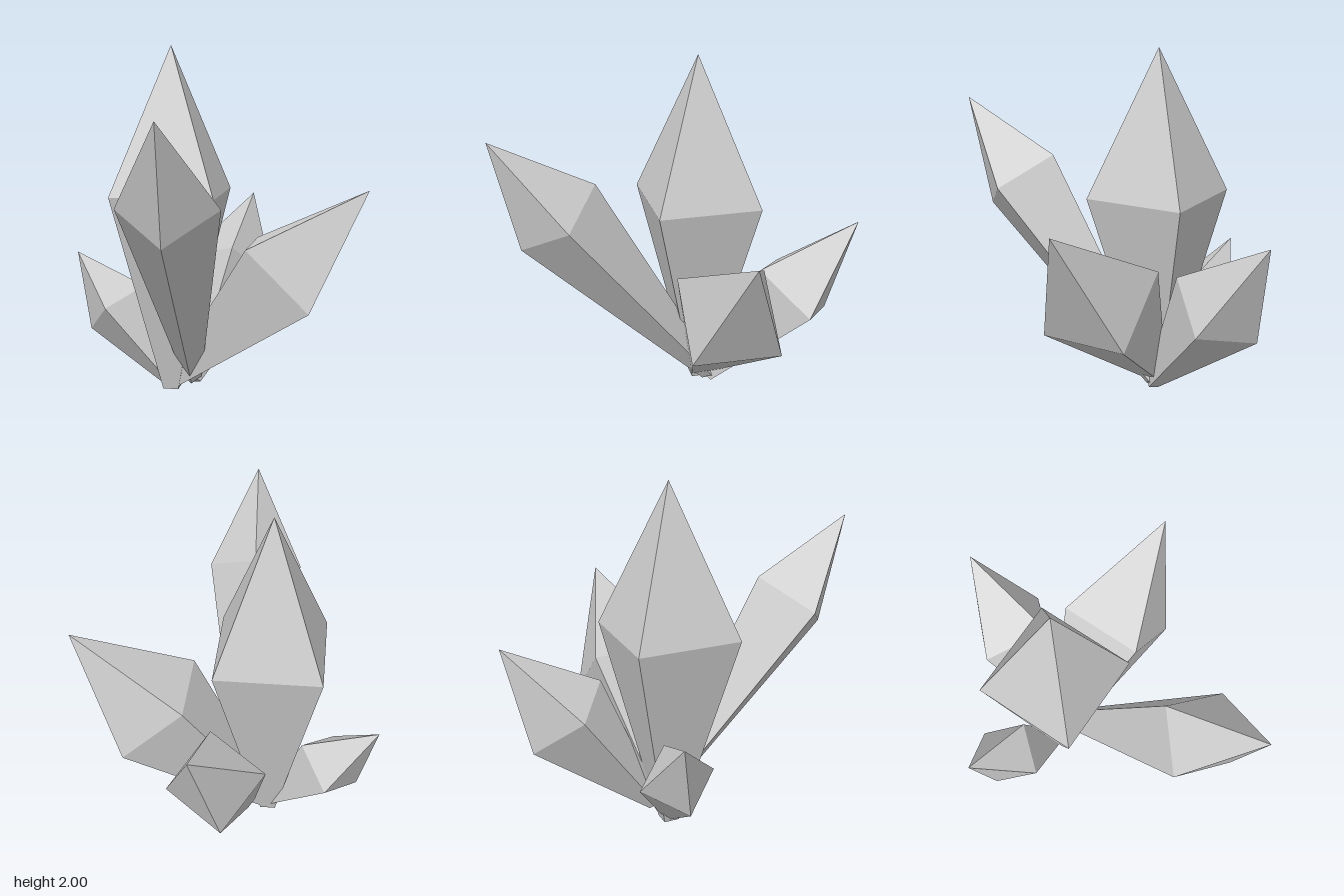
import * as THREE from 'three';

// One four-sided crystal: a narrow foot, a wide girdle and a pointed tip.
// girdle: centre of the widest ring; corner: offset from it to one ring corner;
// reach: foot distance below the girdle, relative to the tip length;
// foot: foot radius relative to the girdle radius.
function crystal(name, tip, girdle, corner, reach, foot, material) {
  const centre = new THREE.Vector3(...girdle);
  const axis = new THREE.Vector3(...tip).sub(centre);
  const length = axis.length();
  axis.normalize();
  const side = new THREE.Vector3(...corner);
  const radius = side.length();
  side.addScaledVector(axis, -side.dot(axis)).normalize();

  const profile = [
    [0, -reach * length],
    [radius * foot, -reach * length],
    [radius, 0],
    [0, length],
  ].map(([r, y]) => new THREE.Vector2(r, y));
  const geometry = new THREE.LatheGeometry(profile, 4);

  // Turn the crystal so its axis and ring corners point the right way
  const turn = new THREE.Matrix4().makeBasis(
    side, axis, new THREE.Vector3().crossVectors(side, axis));
  geometry.applyMatrix4(turn.setPosition(centre));

  const mesh = new THREE.Mesh(geometry, material);
  mesh.name = name;
  return mesh;
}

export function createModel() {
  const group = new THREE.Group();
  group.name = 'crystalCluster';
  const material = new THREE.MeshStandardMaterial({ color: 0xcccccc, flatShading: true });

  const crystals = [
    ['mainCrystal', [-0.07, 2, -0.2], [-0.07, 1.16, -0.2], [0.42, 0, 0], 1.38, 0.15],
    ['frontRightCrystal', [-0.795, 1.645, 0.77], [-0.55, 1.18, 0.5], [0.2, 0.01, 0.185], 2.41, 0.2],
    ['frontLeftCrystal', [0.735, 1.195, 0.595], [0.39, 0.7, 0.253], [0.055, 0.172, -0.303], 1.37, 0.15],
    ['backLeftCrystal', [0.79, 1.06, -0.55], [0.475, 0.63, -0.377], [0.2, -0.07, 0.187], 1.37, 0.15],
    ['backRightCrystal', [-0.38, 0.76, -0.77], [-0.247, 0.445, -0.527], [0.162, -0.035, -0.133], 1.36, 0.15],
  ];
  for (const parts of crystals) group.add(crystal(...parts, material));
  return group;
}
